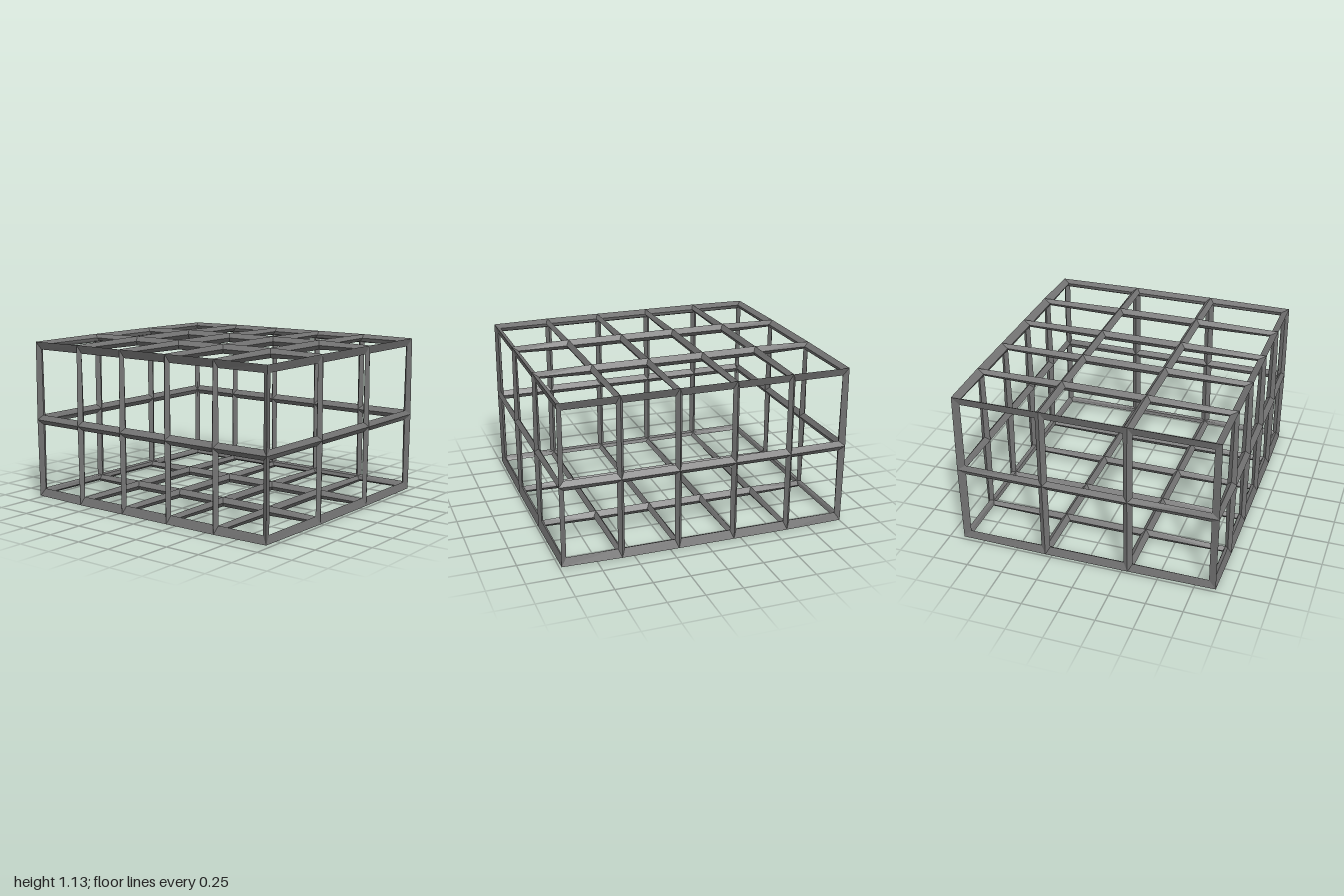
import * as THREE from 'three';

// Axis order x, y, z: half size of the lattice, cells along it, half thickness of the bars
const HALF = [0.977, 0.533, 0.876];
const CELLS = [5, 2, 3];
const BAR = [0.023, 0.034, 0.032];
const CENTRE_Y = 0.567;

// Grid node on one side of the box, with its outward normal (slanted along edges and corners)
function node(axis, sign, u, v, i, j) {
  const pos = [0, 0, 0];
  const n = [0, 0, 0];
  pos[axis] = sign * HALF[axis];
  n[axis] = sign;
  for (const [k, c] of [[u, i], [v, j]]) {
    pos[k] = HALF[k] * (2 * c / CELLS[k] - 1);
    n[k] = c === 0 ? -1 : c === CELLS[k] ? 1 : 0;
  }
  const len = Math.hypot(...n);
  const ridge = (d) => pos.map((p, k) => p + d * BAR[k] * n[k] / len);
  return { pos, outer: ridge(1), inner: ridge(-1) };
}

// One side: every cell frames its opening with bevels that meet the neighbours as diamond bars
function panelGeometry(axis, sign) {
  let u = (axis + 1) % 3;
  let v = (axis + 2) % 3;
  if (sign < 0) [u, v] = [v, u];
  const verts = [];
  const quad = (a, b, c, d) => verts.push(...a, ...b, ...c, ...a, ...c, ...d);

  for (let i = 0; i < CELLS[u]; i++) {
    for (let j = 0; j < CELLS[v]; j++) {
      const corners = [[0, 0], [1, 0], [1, 1], [0, 1]].map(([di, dj]) => {
        const c = node(axis, sign, u, v, i + di, j + dj);
        c.inset = c.pos.slice();
        c.inset[u] += (di ? -1 : 1) * BAR[u];
        c.inset[v] += (dj ? -1 : 1) * BAR[v];
        return c;
      });
      corners.forEach((a, k) => {
        const b = corners[(k + 1) % 4];
        quad(a.outer, b.outer, b.inset, a.inset);
        quad(a.inner, a.inset, b.inset, b.inner);
      });
    }
  }
  const geo = new THREE.BufferGeometry();
  geo.setAttribute('position', new THREE.Float32BufferAttribute(verts, 3));
  geo.computeVertexNormals();
  return geo;
}

export function createModel() {
  const model = new THREE.Group();
  model.name = 'latticeBox';
  const material = new THREE.MeshStandardMaterial({ color: 0x737373, flatShading: true });
  const names = [['right', 'left'], ['bottom', 'top'], ['back', 'front']];

  // Six open grid panels close up into the hollow frame
  names.forEach((pair, axis) => pair.forEach((name, k) => {
    const mesh = new THREE.Mesh(panelGeometry(axis, k ? 1 : -1), material);
    mesh.name = name + 'Grid';
    mesh.position.y = CENTRE_Y;
    model.add(mesh);
  }));
  return model;
}
